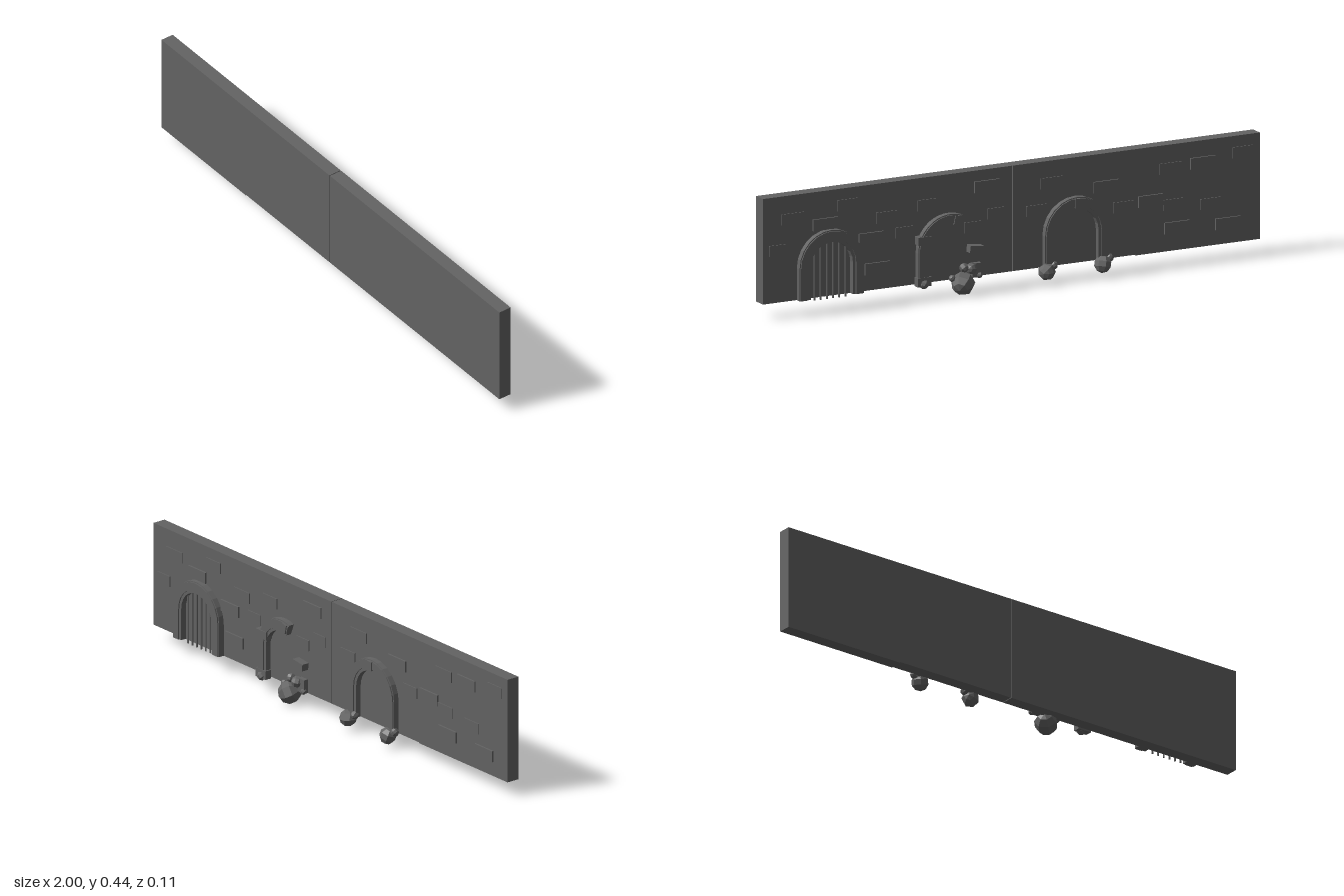
import * as THREE from 'three';

const BASE = 0.058, TOP = 0.446, BACK = 0.007;
const stone = new THREE.MeshStandardMaterial({ color: 0x636363, flatShading: true });

function add(parent, name, geometry, x = 0, y = 0, z = 0) {
  const mesh = new THREE.Mesh(geometry, stone);
  mesh.name = name;
  mesh.position.set(x, y, z);
  parent.add(mesh);
  return mesh;
}

// Box given by its limits on each axis
function block(parent, name, x0, x1, y0, y1, z0, z1) {
  return add(parent, name, new THREE.BoxGeometry(x1 - x0, y1 - y0, z1 - z0),
    (x0 + x1) / 2, (y0 + y1) / 2, (z0 + z1) / 2);
}

// Faceted boulder
function rock(parent, name, x, y, z, r, turn = 0) {
  const mesh = add(parent, name, new THREE.SphereGeometry(r, 7, 5), x, y, z);
  mesh.rotation.set(turn, turn * 0.7, turn * 1.3);
  return mesh;
}

// Arch band with a straight leg at angle 0, running round to angle "end"
function archBand(parent, name, cx, outer, inner, end, zBack) {
  const spring = 0.175, shape = new THREE.Shape(), steps = 12;
  const at = (r, a) => [r * Math.cos(a), spring + r * Math.sin(a)];
  shape.moveTo(outer, BASE);
  for (let i = 0; i <= steps; i++) shape.lineTo(...at(outer, end * i / steps));
  if (end === Math.PI) {
    shape.lineTo(-outer, BASE);
    shape.lineTo(-inner, BASE);
  }
  for (let i = steps; i >= 0; i--) shape.lineTo(...at(inner, end * i / steps));
  shape.lineTo(inner, BASE);
  shape.closePath();
  const geometry = new THREE.ExtrudeGeometry(shape, { depth: BACK - zBack, bevelEnabled: false });
  return add(parent, name, geometry, cx, 0, zBack);
}

function arch(parent, name, cx, end = Math.PI) {
  const group = new THREE.Group();
  group.name = name;
  archBand(group, 'outerMoulding', cx, 0.13, 0.085, end, -0.014);
  archBand(group, 'raisedMoulding', cx, 0.126, 0.096, end, -0.0185);
  parent.add(group);
  return group;
}

// Small raised stone on the face of an arch
function archStone(parent, cx, angle) {
  const mesh = add(parent, 'archStone', new THREE.BoxGeometry(0.034, 0.024, 0.012),
    cx + 0.108 * Math.cos(angle), 0.175 + 0.108 * Math.sin(angle), -0.017);
  mesh.rotation.z = angle;
}

export function createModel() {
  const model = new THREE.Group();
  model.name = 'ruinedWall';

  // Two wall panels with a fine joint
  block(model, 'leftWallPanel', -0.003, 1, BASE, TOP, BACK, 0.057);
  block(model, 'rightWallPanel', -1, -0.006, BASE, TOP, BACK, 0.057);
  block(model, 'bottomLip', -1, -0.5, 0.055, BASE, BACK, 0.057);

  // Bricks standing proud: x, y
  const proudBricks = [
    [0.75, 0.325], [0.565, 0.25], [0.54, 0.137], [0.1, 0.385], [-0.38, 0.325],
    [-0.56, 0.25], [-0.77, 0.365], [-0.665, 0.14], [-0.87, 0.13],
  ];
  for (const [x, y] of proudBricks) {
    block(model, 'proudBrick', x - 0.05, x + 0.05, y - 0.021, y + 0.021, 0.0005, 0.012);
  }

  // Shallow bricks: x, y, width
  const shallowBricks = [
    [0.88, 0.36, 0.09], [0.94, 0.25, 0.07], [0.66, 0.385, 0.08], [0.5, 0.32, 0.09],
    [0.43, 0.255, 0.07], [0.34, 0.345, 0.08], [0.155, 0.24, 0.07], [0.06, 0.28, 0.07],
    [-0.16, 0.365, 0.09], [-0.1, 0.27, 0.08], [-0.45, 0.24, 0.08], [-0.64, 0.36, 0.09],
    [-0.93, 0.385, 0.08], [-0.65, 0.225, 0.08], [-0.8, 0.21, 0.08],
  ];
  for (const [x, y, w] of shallowBricks) {
    block(model, 'shallowBrick', x - w / 2, x + w / 2, y - 0.02, y + 0.02, 0.0035, 0.012);
  }

  // Barred gateway
  const gate = arch(model, 'gateArch', 0.733);
  for (let i = 0; i < 6; i++) {
    const x = 0.671 + i * 0.025;
    const top = 0.175 + Math.sqrt(0.09 ** 2 - (x - 0.733) ** 2);
    add(gate, 'gateBar', new THREE.CylinderGeometry(0.0035, 0.0035, top - 0.05, 6),
      x, (top + 0.05) / 2, 0);
  }

  // Whole arch with boulders at its feet
  const whole = arch(model, 'wholeArch', -0.255);
  archStone(whole, -0.255, 1.57);
  [[-0.355, 0.2], [-0.13, 0.8]].forEach(([x, turn]) => {
    rock(whole, 'footBoulder', x, 0.047, -0.018, 0.032, turn);
    rock(whole, 'footStone', x - 0.03, 0.066, -0.012, 0.016, turn + 1);
  });

  // Broken arch: one leg and part of the curve
  const broken = arch(model, 'brokenArch', 0.255, 1.95);
  archStone(broken, 0.255, 1.8);
  block(broken, 'legStone', 0.33, 0.388, 0.205, 0.235, -0.022, BACK);
  rock(broken, 'legRubble', 0.362, 0.06, -0.014, 0.018, 0.5);
  block(broken, 'legFoot', 0.335, 0.39, 0.052, 0.085, -0.02, BACK);

  // Rubble where the other leg fell
  const rubble = new THREE.Group();
  rubble.name = 'rubble';
  model.add(rubble);
  rock(rubble, 'largeBoulder', 0.205, 0.044, -0.013, 0.044, 0.6);
  rock(rubble, 'rubbleStone', 0.17, 0.092, -0.008, 0.022, 0.9);
  rock(rubble, 'rubbleStone', 0.2, 0.1, -0.012, 0.017, 1.7);
  rock(rubble, 'rubbleStone', 0.135, 0.065, -0.006, 0.012, 0.4);
  rock(rubble, 'rubbleStone', 0.245, 0.065, -0.006, 0.013, 1.2);
  block(rubble, 'legStump', 0.128, 0.165, BASE, 0.11, -0.01, BACK);
  const fallen = block(rubble, 'fallenBlock', 0.125, 0.18, 0.15, 0.177, -0.022, BACK);
  fallen.rotation.z = 0.12;

  return model;
}
